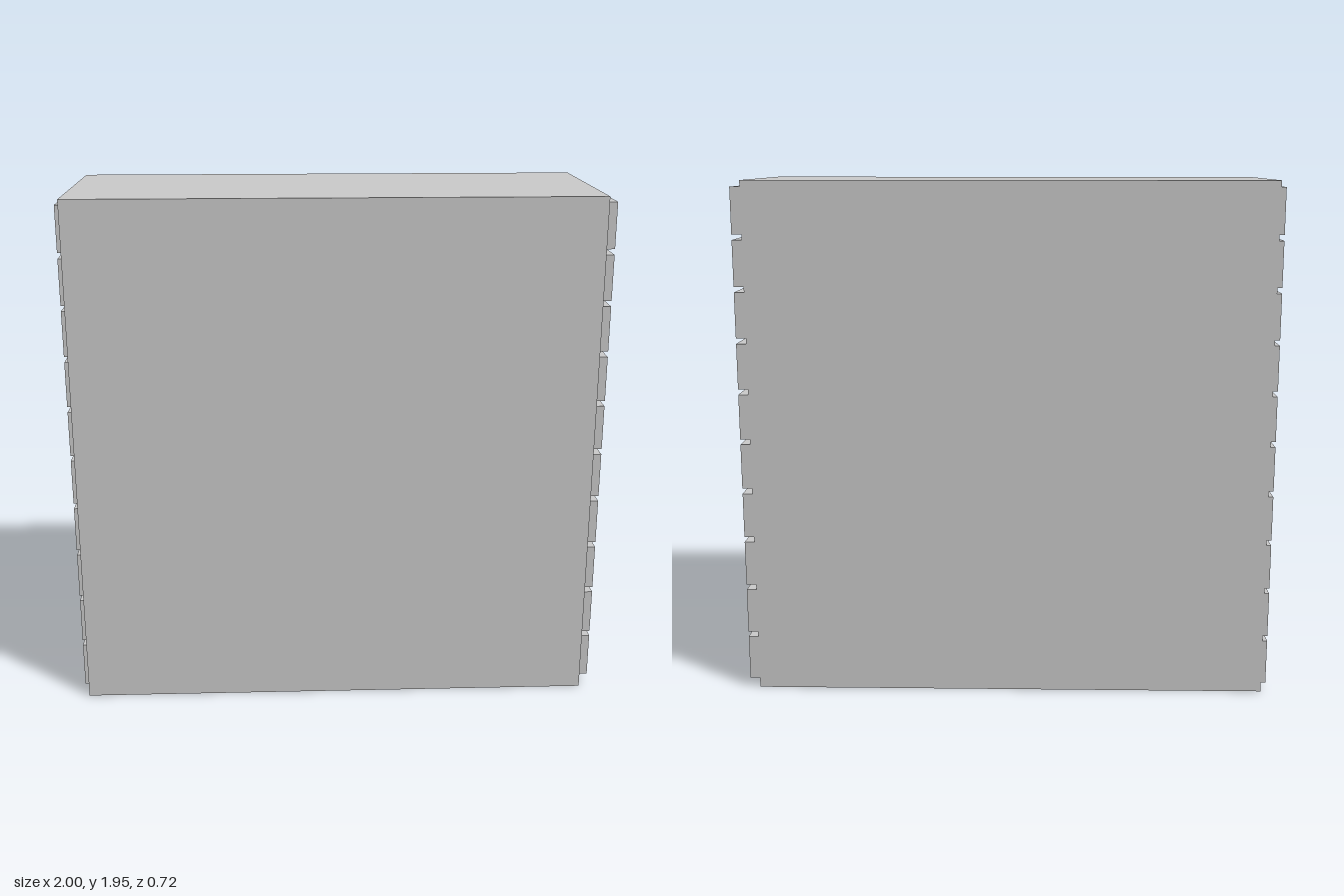
import * as THREE from 'three';

export function createModel() {
  const model = new THREE.Group();
  const material = new THREE.MeshStandardMaterial({ color: 0xcccccc, flatShading: true });

  // Box given by its lower and upper corners
  function addBox(parent, name, min, max) {
    const size = max.map((v, i) => v - min[i]);
    const mesh = new THREE.Mesh(new THREE.BoxGeometry(...size), material);
    mesh.position.set(...max.map((v, i) => (v + min[i]) / 2));
    mesh.name = name;
    parent.add(mesh);
  }

  // Main block
  const left = 0.963, right = -0.982, depth = 0.36;
  addBox(model, 'buildingBlock', [right, 0, -depth], [left, 1.945, depth]);

  // Grid of raised panels on each end; the rear column is flush with the back
  const rows = 10, pitch = 0.1905, panelHeight = 0.17, firstRow = 0.037;
  const columns = [[-depth, -0.154], [-0.121, 0.088], [0.121, 0.33]];
  for (const [name, x0, x1] of [['leftPanels', left, 1], ['rightPanels', -1, right]]) {
    const panels = new THREE.Group();
    panels.name = name;
    for (let row = 0; row < rows; row++) {
      const y = firstRow + row * pitch;
      for (const [z0, z1] of columns) {
        addBox(panels, 'panel', [x0, y, z0], [x1, y + panelHeight, z1]);
      }
    }
    model.add(panels);
  }
  return model;
}
